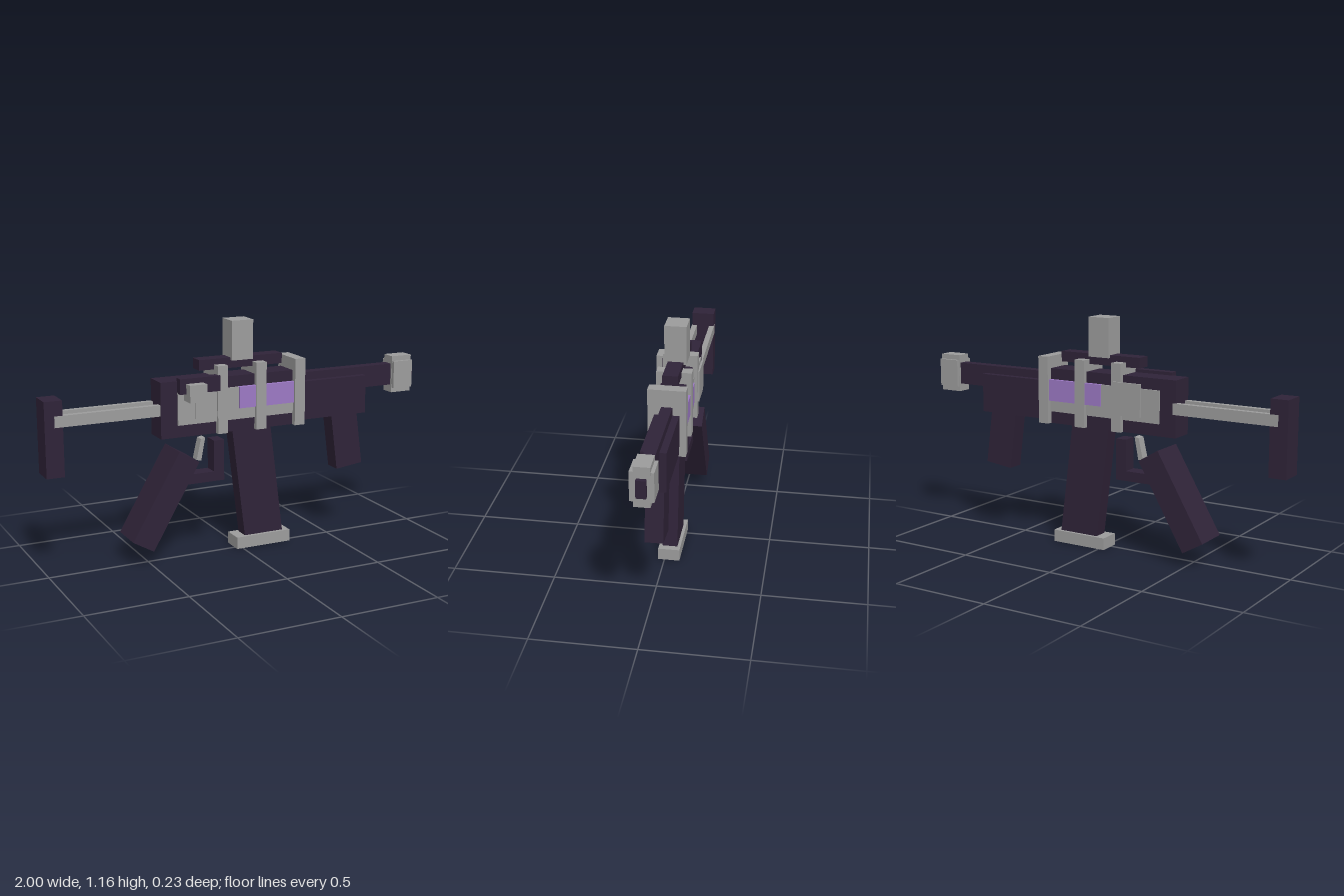
import * as THREE from 'three';

const mat = (name, color) => {
  const m = new THREE.MeshStandardMaterial({ color });
  m.name = name;
  return m;
};

export function createModel() {
  const dark = mat('dark plum', 0x2f2338);
  const gray = mat('metal gray', 0x9c9c9c);
  const purple = mat('purple glow', 0x9c79c4);
  const model = new THREE.Group();
  model.name = 'blockBlaster';

  // Box given by its limits on each axis
  const box = (name, m, x0, x1, y0, y1, z0, z1) => {
    const mesh = new THREE.Mesh(new THREE.BoxGeometry(x1 - x0, y1 - y0, z1 - z0), m);
    mesh.position.set((x0 + x1) / 2, (y0 + y1) / 2, (z0 + z1) / 2);
    mesh.name = name;
    model.add(mesh);
  };

  // Slanted block: side outline extruded across z
  const slab = (name, m, points, z0, z1) => {
    const shape = new THREE.Shape(points.map(([x, y]) => new THREE.Vector2(x, y)));
    const geo = new THREE.ExtrudeGeometry(shape, { depth: z1 - z0, bevelEnabled: false });
    const mesh = new THREE.Mesh(geo, m);
    mesh.position.z = z0;
    mesh.name = name;
    model.add(mesh);
  };

  // Body and barrel
  box('receiver', dark, -0.435, 0.3, 0.615, 0.89, -0.085, 0.037);
  box('handguard', dark, 0.29, 0.695, 0.63, 0.825, -0.082, 0.035);
  box('barrel', dark, 0.28, 0.87, 0.755, 0.865, -0.05, 0.003);
  box('barrelTip', dark, 0.86, 1.0, 0.767, 0.851, -0.045, 0);
  box('muzzleCore', gray, 0.865, 0.98, 0.715, 0.905, -0.06, 0.014);
  box('muzzleCollar', gray, 0.867, 0.978, 0.74, 0.88, -0.076, 0.031);

  // Side plates and glowing windows
  box('sidePlate', gray, -0.35, 0.28, 0.675, 0.835, -0.093, 0.045);
  box('energyWindow', purple, -0.03, 0.28, 0.73, 0.836, -0.104, 0.057);
  box('frontInset', gray, -0.26, -0.13, 0.7, 0.83, 0.044, 0.05);
  box('ejectionCover', gray, -0.26, -0.11, 0.7, 0.86, -0.117, -0.107);

  // Bolt cover and its knob
  box('boltCover', dark, -0.35, -0.14, 0.83, 0.905, 0.03, 0.071);
  box('boltKnob', gray, -0.318, -0.23, 0.795, 0.88, 0.04, 0.117);

  // Bands round the body
  for (const [x0, x1] of [[-0.148, -0.095], [0.058, 0.113]]) {
    box('band', gray, x0, x1, 0.615, 0.948, -0.109, 0.061);
  }
  box('frontBand', gray, 0.268, 0.324, 0.615, 0.95, -0.113, 0.067);

  // Top rail and sight
  box('topRail', dark, -0.225, 0.22, 0.925, 0.976, -0.06, 0.014);
  box('sight', gray, -0.06, 0.054, 0.963, 1.156, -0.075, 0.031);

  // Stock
  box('buttPlate', dark, -1.0, -0.913, 0.49, 0.852, -0.087, 0.031);
  for (const [z0, z1] of [[-0.089, -0.062], [0.005, 0.033]]) {
    box('stockRod', gray, -0.953, -0.42, 0.727, 0.781, z0, z1);
  }

  // Grips
  slab('rearGrip', dark, [[-0.355, 0.552], [-0.6, 0.133], [-0.495, 0.072], [-0.252, 0.49]], -0.113, 0.069);
  slab('foreGrip', dark, [[0.502, 0.65], [0.542, 0.344], [0.69, 0.362], [0.651, 0.65]], -0.065, 0.021);

  // Magazine
  slab('magazine', dark, [[-0.055, 0.65], [0.02, 0.05], [0.231, 0.05], [0.155, 0.65]], -0.06, 0.014);
  box('magazineBase', gray, -0.032, 0.264, 0, 0.06, -0.075, 0.031);

  // Trigger and guard
  slab('triggerGuard', dark,
    [[-0.35, 0.367], [-0.095, 0.367], [-0.095, 0.572], [-0.15, 0.572], [-0.15, 0.416], [-0.35, 0.416]], -0.06, 0.014);
  slab('trigger', gray, [[-0.213, 0.584], [-0.237, 0.481], [-0.212, 0.475], [-0.19, 0.589]], -0.046, 0);

  return model;
}
